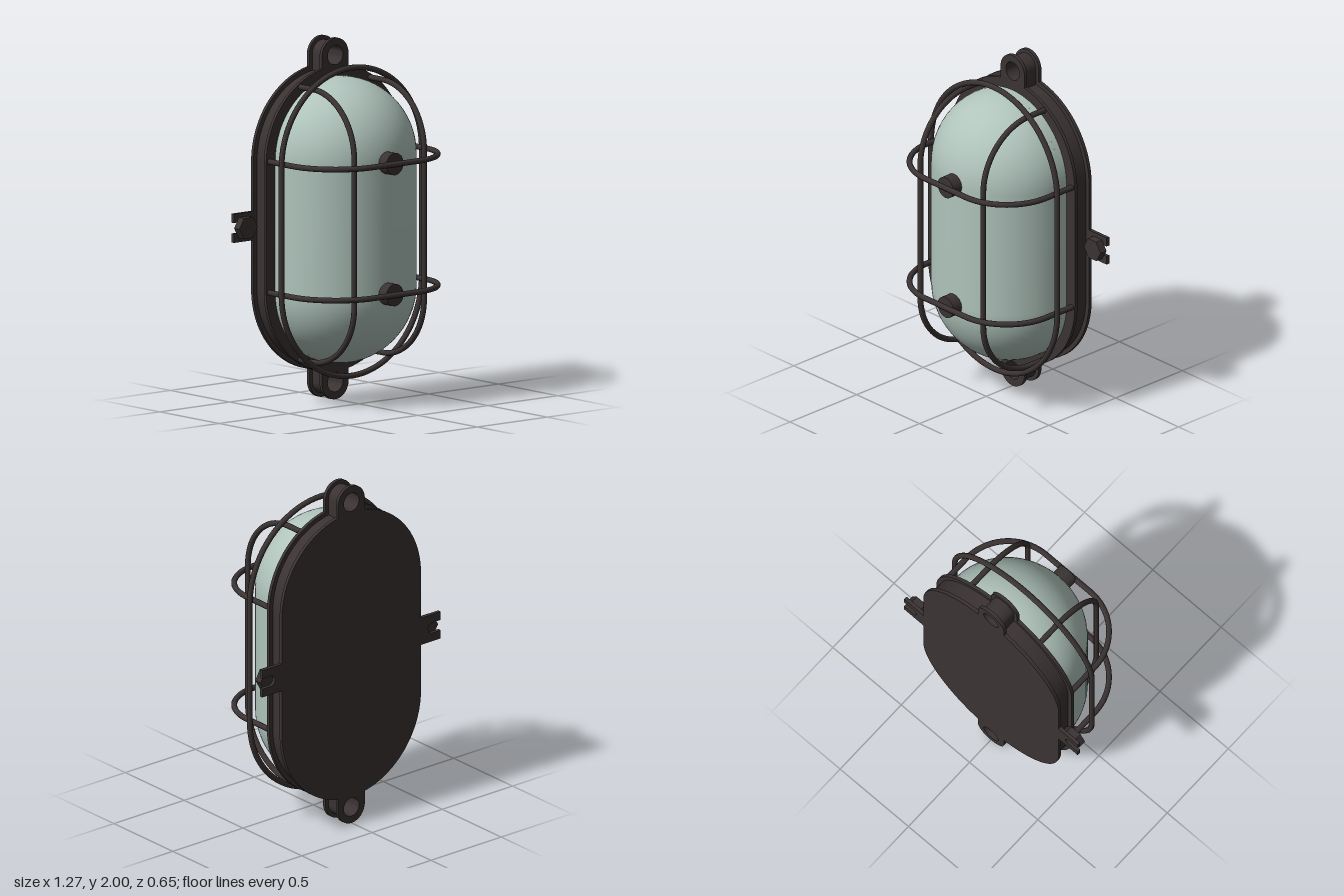
import * as THREE from 'three';
import { toCreasedNormals } from 'three/addons/utils/BufferGeometryUtils.js';

const HALF = 0.35; // half length of the straight sides
const BACK = -0.325, FRONT = -0.198;

// Upright stadium outline centred on the origin
function stadium(r, half = HALF) {
  const s = new THREE.Shape();
  s.moveTo(r, -half);
  s.lineTo(r, half);
  s.absarc(0, half, r, 0, Math.PI, false);
  s.lineTo(-r, -half);
  s.absarc(0, -half, r, Math.PI, Math.PI * 2, false);
  return s;
}

// Plate from z0 to z1 cut from a shape
function slab(shape, z0, z1) {
  const g = new THREE.ExtrudeGeometry(shape, { depth: z1 - z0, bevelEnabled: false, curveSegments: 20 });
  g.translate(0, 0, z0);
  return toCreasedNormals(g, 0.6);
}

// U-shaped guard wire: legs at +-w, bridge at height h, corner radius r
function archPoints(w, h, r) {
  const p = new THREE.Path();
  p.moveTo(w, -0.21);
  p.lineTo(w, h - r);
  p.absarc(w - r, h - r, r, 0, Math.PI / 2, false);
  p.lineTo(r - w, h);
  p.absarc(r - w, h - r, r, Math.PI / 2, Math.PI, false);
  p.lineTo(-w, -0.21);
  return p.getSpacedPoints(64);
}

function wire(points, closed = false) {
  const curve = new THREE.CatmullRomCurve3(points, closed);
  return new THREE.TubeGeometry(curve, 128, 0.016, 10, closed);
}

// Hanging eye with its root reaching into the housing
function eyeShape(r) {
  const s = new THREE.Shape();
  s.moveTo(-r, -0.1);
  s.lineTo(r, -0.1);
  s.lineTo(r, 0);
  s.absarc(0, 0, r, 0, Math.PI, false);
  s.lineTo(-r, -0.1);
  const hole = new THREE.Path();
  hole.absarc(0, 0, 0.054, 0, Math.PI * 2, true);
  s.holes.push(hole);
  return s;
}

// Forked side lug with a slot open at the outer end
function forkShape() {
  const s = new THREE.Shape();
  s.moveTo(0.45, -0.08);
  s.lineTo(0.635, -0.08);
  s.lineTo(0.635, -0.03);
  s.lineTo(0.575, -0.03);
  s.absarc(0.575, 0, 0.03, -Math.PI / 2, Math.PI / 2, true);
  s.lineTo(0.635, 0.03);
  s.lineTo(0.635, 0.08);
  s.lineTo(0.45, 0.08);
  return s;
}

export function createModel() {
  const metal = new THREE.MeshStandardMaterial({ color: 0x3b3333 });
  metal.name = 'dark metal';
  const glass = new THREE.MeshStandardMaterial({ color: 0xb0c4bc });
  glass.name = 'frosted glass';

  const model = new THREE.Group();
  model.name = 'bulkheadLamp';
  const add = (name, geometry, material = metal, x = 0, y = 1, z = 0) => {
    const m = new THREE.Mesh(geometry, material);
    m.name = name;
    m.position.set(x, y, z);
    model.add(m);
    return m;
  };

  // Housing with a flange at the back and front
  add('housing', slab(stadium(0.47), BACK + 0.01, FRONT - 0.01));
  add('backFlange', slab(stadium(0.495), BACK, BACK + 0.02));
  add('frontFlange', slab(stadium(0.495), FRONT - 0.02, FRONT));

  // Glass: half capsule dome on a short straight skirt
  const profile = [];
  for (let i = 0; i <= 32; i++) {
    const a = -Math.PI / 2 + (i / 32) * Math.PI;
    const shift = i < 16 ? -0.36 : 0.36;
    if (i === 16) profile.push(new THREE.Vector2(0.43, -0.36));
    profile.push(new THREE.Vector2(Math.max(0, 0.43 * Math.cos(a)), 0.43 * Math.sin(a) + shift));
  }
  const dome = new THREE.LatheGeometry(profile, 40, -Math.PI / 2, Math.PI);
  dome.scale(1, 1, 0.405 / 0.43);
  add('glassDome', dome, glass, 0, 1, -0.16);
  add('glassSkirt', slab(stadium(0.43, 0.36), -0.21, -0.16), glass);

  // Wire guard: two uprights, two cross hoops and an encircling ring
  for (const x of [-0.25, 0.25]) {
    add('uprightWire', wire(archPoints(0.755, 0.257, 0.35).map(p => new THREE.Vector3(0, p.x, p.y))), metal, x);
  }
  for (const y of [0.64, 1.365]) {
    add('crossWire', wire(archPoints(0.471, 0.307, 0.31).map(p => new THREE.Vector3(p.x, 0, p.y))), metal, 0, y);
    // Stud between the glass and the cross wire
    const stud = new THREE.CylinderGeometry(0.062, 0.062, 0.09, 16);
    stud.rotateX(Math.PI / 2);
    add('stud', stud, metal, 0, y, 0.26);
  }
  const ring = stadium(0.502).getSpacedPoints(96).slice(0, -1);
  add('ringWire', wire(ring.map(p => new THREE.Vector3(p.x, p.y, 0)), true), metal, 0, 1, -0.06);

  // Hanging eyes, top and bottom
  for (const s of [1, -1]) {
    const eye = new THREE.Group();
    eye.name = s > 0 ? 'topEye' : 'bottomEye';
    for (const [r, z0, z1] of [[0.095, BACK, BACK + 0.02], [0.073, BACK + 0.015, FRONT - 0.015], [0.095, FRONT - 0.02, FRONT]]) {
      const part = new THREE.Mesh(slab(eyeShape(r), z0, z1), metal);
      part.name = 'eyePlate';
      eye.add(part);
    }
    eye.position.y = 1 + s * 0.905;
    if (s < 0) eye.rotation.z = Math.PI;
    model.add(eye);
  }

  // Side lugs with hexagonal bolts
  for (const s of [1, -1]) {
    const lug = add(s > 0 ? 'leftLug' : 'rightLug', slab(forkShape(), BACK, BACK + 0.02));
    if (s < 0) lug.rotation.z = Math.PI;
    const hex = new THREE.CylinderGeometry(0.066, 0.066, 0.045, 6).toNonIndexed();
    hex.rotateY(Math.PI / 2);
    hex.rotateX(Math.PI / 2);
    hex.computeVertexNormals();
    add(s > 0 ? 'leftBolt' : 'rightBolt', hex, metal, s * 0.566, 1, -0.284);
  }

  return model;
}
